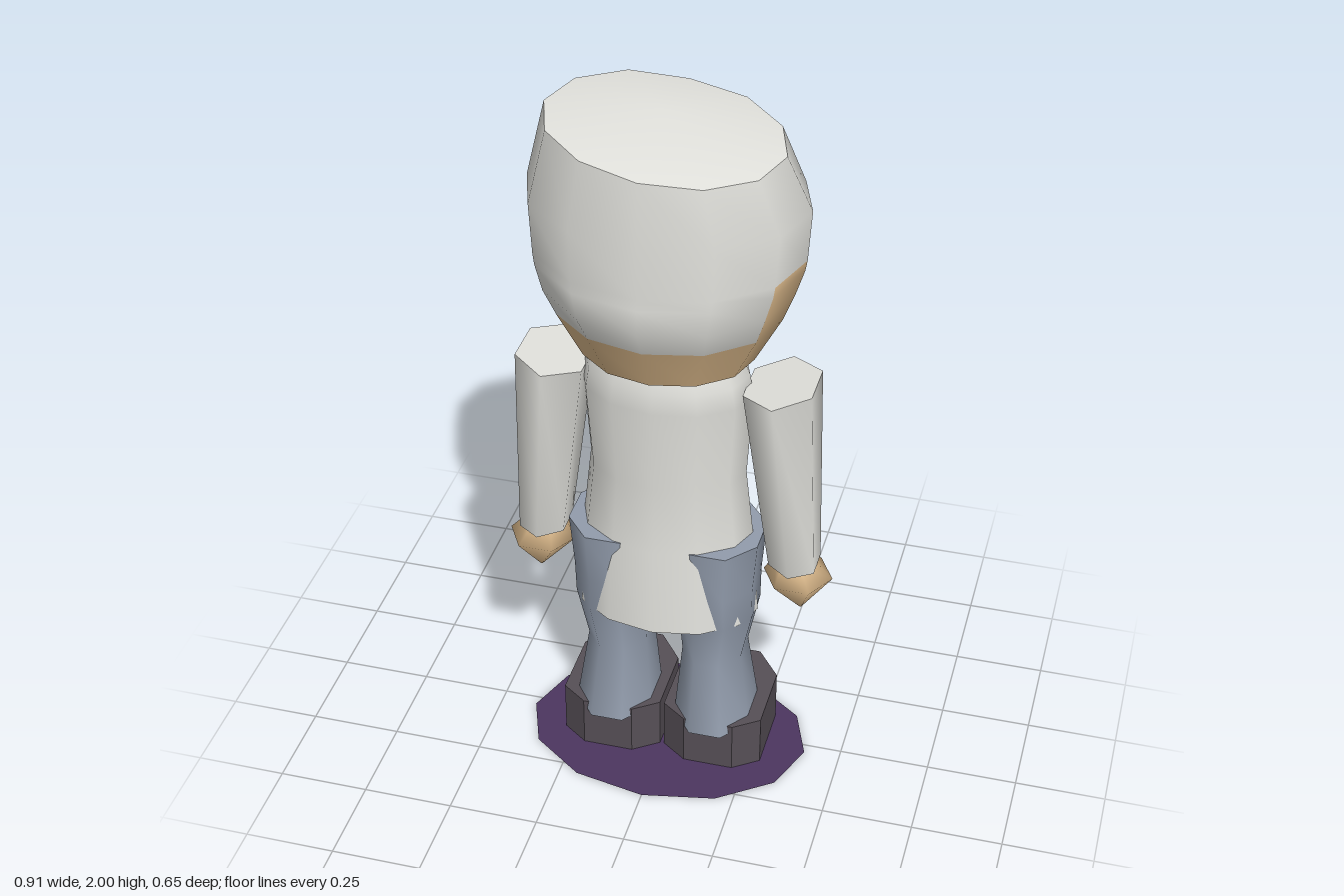
import * as THREE from 'three';

const mat = (name, color, side = THREE.FrontSide) => {
  const m = new THREE.MeshStandardMaterial({ color, side });
  m.name = name;
  return m;
};

// Elliptical ring point; column 0 faces +z, a quarter turn on faces +x
const ringPoint = (n, c, x, y, z, rx, rz, turn = 0) => {
  const a = ((c + turn) / n) * Math.PI * 2;
  return [x + rx * Math.sin(a), y, z + rz * Math.cos(a)];
};

// Skin a stack of rings; pick(r, c, tri) chooses a material index
function loft(name, rings, mats, { pick = () => 0, capMat = [0, 0], peak = null } = {}) {
  const pos = rings.flat(2), n = rings[0].length, idx = mats.map(() => []);
  for (let r = 0; r < rings.length - 1; r++) {
    for (let c = 0; c < n; c++) {
      const a = r * n + c, b = r * n + (c + 1) % n, d = a + n, e = b + n;
      idx[pick(r, c, 0)].push(a, b, d);
      idx[pick(r, c, 1)].push(b, e, d);
    }
  }
  // Caps use their own vertices so the rim stays sharp
  [rings[0], rings[rings.length - 1]].forEach((ring, top) => {
    const base = pos.length / 3;
    const mid = [0, 1, 2].map(k => ring.reduce((s, p) => s + p[k], 0) / n);
    if (top && peak !== null) mid[1] = peak;
    pos.push(...ring.flat(), ...mid);
    for (let c = 0; c < n; c++) {
      const p = base + c, q = base + (c + 1) % n;
      idx[capMat[top]].push(...(top ? [p, q, base + n] : [q, p, base + n]));
    }
  });
  const g = new THREE.BufferGeometry();
  g.setAttribute('position', new THREE.Float32BufferAttribute(pos, 3));
  g.setIndex(idx.flat());
  let start = 0;
  idx.forEach((list, i) => {
    g.addGroup(start, list.length, i);
    start += list.length;
  });
  g.computeVertexNormals();
  const mesh = new THREE.Mesh(g, mats);
  mesh.name = name;
  return mesh;
}

// Point on a lofted surface at fractional column u and height y
function onSurface(rings, u, y, off) {
  const at = c => {
    let r = 0;
    while (r < rings.length - 2 && rings[r + 1][c][1] < y) r++;
    const p = rings[r][c], q = rings[r + 1][c], t = (y - p[1]) / (q[1] - p[1]);
    return new THREE.Vector3(...p).lerp(new THREE.Vector3(...q), t);
  };
  const c = Math.floor(u), v = at(c).lerp(at(c + 1), u - c);
  const out = new THREE.Vector3(v.x, 0, v.z - 0.03).normalize();
  return v.addScaledVector(out, off);
}

// Thin painted shape on a surface; cols are [u, yLow, yHigh]
function decal(name, rings, cols, off, material) {
  const steps = 8, pos = [], idx = [], n = cols.length;
  for (let s = 0; s <= steps; s++) {
    for (const [u, lo, hi] of cols) {
      pos.push(...onSurface(rings, u, lo + (hi - lo) * s / steps, off).toArray());
    }
  }
  for (let s = 0; s < steps; s++) {
    for (let c = 0; c < n - 1; c++) {
      const a = s * n + c;
      idx.push(a, a + 1, a + n, a + 1, a + n + 1, a + n);
    }
  }
  const g = new THREE.BufferGeometry();
  g.setAttribute('position', new THREE.Float32BufferAttribute(pos, 3));
  g.setIndex(idx);
  g.computeVertexNormals();
  const mesh = new THREE.Mesh(g, material);
  mesh.name = name;
  return mesh;
}

export function createModel() {
  const white = mat('white cloth', 0xe0e0db), skin = mat('skin', 0xdfbc8d);
  const face = mat('face skin', 0xd89d56), denim = mat('trouser blue', 0x929cac);
  const leather = mat('shoe leather', 0x564f56), black = mat('black', 0x2a2a2a, THREE.DoubleSide);
  const grey = mat('moustache grey', 0x48464b, THREE.DoubleSide);
  const purple = mat('base purple', 0x4c3660, THREE.DoubleSide);
  const model = new THREE.Group();

  // Head with hat: y, rx, cz, rz, z of the front ridge
  const headRows = [
    [1.31, 0.23, 0.035, 0.185, -0.15],
    [1.44, 0.30, 0.03, 0.25, -0.235],
    [1.52, 0.33, 0.03, 0.297, -0.28],
    [1.59, 0.352, 0.03, 0.295, -0.325],
    [1.62, 0.357, 0.03, 0.293, -0.295],
    [1.76, 0.366, 0.03, 0.29, -0.258],
    [1.95, 0.305, 0.06, 0.25, -0.18],
  ];
  const headRings = headRows.map(([y, rx, cz, rz, ridge], r) =>
    Array.from({ length: 12 }, (_, c) => {
      const p = ringPoint(12, c, 0, y, cz, rx, rz);
      if (c === 6) p[2] = ridge;
      if (r === 4 && c > 4 && c < 8) p[1] = 1.66;               // hat brim over the face
      if (r === 6) p[1] = 1.957 - 0.115 * p[0] - 0.07 * p[2];   // tilted crown
      return p;
    }));
  const headPick = (r, c, tri) => {
    if (c >= 4 && c < 8) return r < 4 || (r === 4 && c === 4 && tri === 0) ? 2 : 0;
    if (c === 2 || c === 3 || c === 8 || c === 9) return r < 4 ? 1 : 0;
    return r < 1 ? 1 : 0;
  };
  model.add(loft('head and hat', headRings, [white, skin, face],
    { pick: headPick, capMat: [1, 0], peak: 2 }));

  // Eyes and moustache
  for (const s of [-1, 1]) {
    const span = (a, b, lo, hi) =>
      [a, (a + b) / 2, b].map(d => [6 + s * d, lo, hi]).sort((p, q) => p[0] - q[0]);
    model.add(decal('eyeWhite', headRings, span(0.42, 0.99, 1.53, 1.645), 0.005, white));
    model.add(decal('pupil', headRings, span(0.5, 0.91, 1.535, 1.65), 0.009, black));
  }
  model.add(decal('moustache', headRings, [
    [4.4, 1.385, 1.41], [4.7, 1.38, 1.44], [5, 1.39, 1.455], [5.5, 1.42, 1.475], [6, 1.435, 1.465],
    [6.5, 1.42, 1.475], [7, 1.39, 1.455], [7.3, 1.38, 1.44], [7.6, 1.385, 1.41],
  ], 0.008, grey));

  // Coat
  const coatRings = [
    [0.5, 0.255, 0.035, 0.175], [0.75, 0.236, 0.03, 0.157], [0.95, 0.214, 0.03, 0.145],
    [1.2, 0.23, 0.035, 0.157], [1.26, 0.22, 0.035, 0.155], [1.31, 0.2, 0.035, 0.138],
  ].map(([y, rx, cz, rz]) => Array.from({ length: 12 }, (_, c) => ringPoint(12, c, 0, y, cz, rx, rz)));
  model.add(loft('coat', coatRings, [white]));
  model.add(decal('necktie', coatRings,
    [[5.15, 1.27, 1.31], [5.6, 1.15, 1.31], [6, 1.03, 1.31], [6.4, 1.15, 1.31], [6.85, 1.27, 1.31]],
    0.007, black));

  // Limbs, built once per side
  const tube = (name, s, n, turn, rows, material) => loft(name,
    rows.map(([x, y, z, rx, rz, tilt = 0]) => Array.from({ length: n }, (_, c) => {
      const p = ringPoint(n, c, s * x, y, z, rx, rz, turn);
      p[1] += tilt * s * (p[0] - s * x);
      return p;
    })), [material]);
  for (const s of [-1, 1]) {
    const side = s > 0 ? 'left' : 'right';
    model.add(tube(side + 'Arm', s, 6, 0,
      [[0.35, 0.68, 0.023, 0.072, 0.088, -0.05], [0.305, 1.248, 0.032, 0.104, 0.132, 0.13]], white));
    model.add(tube(side + 'Hand', s, 6, 0.5,
      [[0.37, 0.517, 0.017, 0.002, 0.002], [0.36, 0.63, 0.017, 0.095, 0.095],
        [0.35, 0.69, 0.02, 0.05, 0.05]], skin));
    model.add(tube(side + 'Leg', s, 8, 0.5,
      [[0.142, 0.13, 0.033, 0.117, 0.154], [0.135, 0.35, 0.028, 0.09, 0.117],
        [0.145, 0.5, 0.03, 0.112, 0.138], [0.142, 0.6, 0.033, 0.117, 0.142],
        [0.145, 0.755, 0.035, 0.127, 0.148]], denim));

    // Shoe with clipped corners
    const outline = [[-0.14, -0.1], [-0.07, -0.15], [0.07, -0.15], [0.14, -0.1],
      [0.14, 0.1], [0.07, 0.19], [-0.07, 0.19], [-0.14, 0.1]].map(p => new THREE.Vector2(...p));
    const shoeGeo = new THREE.ExtrudeGeometry(new THREE.Shape(outline), { depth: 0.151, bevelEnabled: false });
    const shoe = new THREE.Mesh(shoeGeo.rotateX(-Math.PI / 2), leather);
    shoe.position.set(s * 0.146, 0.004, 0);
    shoe.name = side + 'Shoe';
    model.add(shoe);
  }

  // Flat disc underfoot
  const disc = new THREE.Mesh(new THREE.CircleGeometry(1, 12).rotateX(-Math.PI / 2), purple);
  disc.scale.set(0.4, 1, 0.29);
  disc.position.set(0, 0.001, 0.03);
  disc.name = 'baseDisc';
  model.add(disc);
  return model;
}
